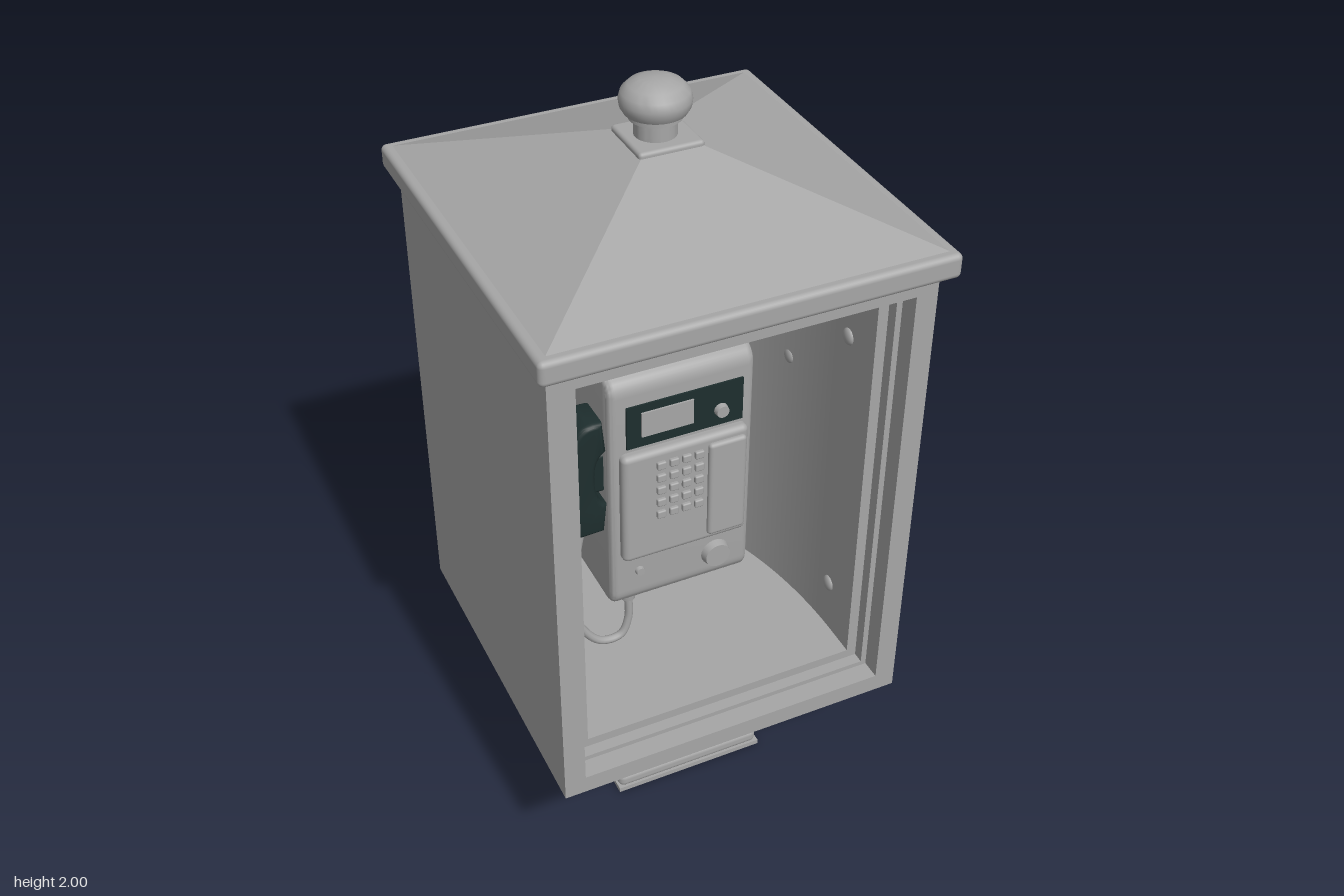
import * as THREE from 'three';
import { toCreasedNormals } from 'three/addons/utils/BufferGeometryUtils.js';
import { RoundedBoxGeometry } from 'three/addons/geometries/RoundedBoxGeometry.js';

const material = (name, color) => Object.assign(new THREE.MeshStandardMaterial({ color }), { name });

export function createModel() {
  const grey = material('grey metal', 0xa6a6a6);
  const dark = material('dark plastic', 0x1e2e2e);
  const group = new THREE.Group();

  const add = (name, geometry, mat = grey, x = 0, y = 0, z = 0, parent = group) => {
    const mesh = new THREE.Mesh(geometry, mat);
    mesh.name = name;
    mesh.position.set(x, y, z);
    parent.add(mesh);
    return mesh;
  };
  // Box given by its limits, with optional rounded edges
  const box = (name, x0, x1, y0, y1, z0, z1, mat = grey, r = 0, parent = group) => {
    const s = [x1 - x0, y1 - y0, z1 - z0];
    const g = r ? new RoundedBoxGeometry(...s, 3, r) : new THREE.BoxGeometry(...s);
    return add(name, g, mat, (x0 + x1) / 2, (y0 + y1) / 2, (z0 + z1) / 2, parent);
  };
  const rect = (P, x0, x1, y0, y1) => {
    const p = new P();
    p.moveTo(x0, y0);
    p.lineTo(x1, y0);
    p.lineTo(x1, y1);
    p.lineTo(x0, y1);
    p.closePath();
    return p;
  };

  // Pedestal
  box('baseFoot', -0.213, 0.213, 0, 0.014, -0.213, 0.213);
  box('basePlate', -0.21, 0.21, 0.008, 0.053, -0.21, 0.21, grey, 0.018);
  add('post', new THREE.CylinderGeometry(0.11, 0.11, 0.34, 40), grey, 0, 0.21, 0);

  // Cabinet: walls around a hollow with a rounded back
  const W = 0.467, lip = 0.385, inner = 0.37, mid = 0.3;
  const plan = new THREE.Shape();
  plan.moveTo(-W, -lip);
  plan.lineTo(-inner, -lip);
  plan.lineTo(-inner, -mid);
  plan.absellipse(0, -mid, inner, 0.72, Math.PI, 0, true);
  plan.lineTo(inner, -lip);
  plan.lineTo(W, -lip);
  plan.lineTo(W, W);
  plan.lineTo(-W, W);
  plan.closePath();
  const walls = new THREE.ExtrudeGeometry(plan, { depth: 1.095, bevelEnabled: false, curveSegments: 48 });
  walls.rotateX(-Math.PI / 2);
  add('cabinetWalls', toCreasedNormals(walls, 0.6), grey, 0, 0.455, 0);
  box('cabinetFloor', -W, W, 0.367, 0.455, -W, lip);
  box('cabinetCeiling', -W, W, 1.55, 1.65, -W, lip);

  // Stepped frame round the opening
  const frame = (name, hx, y0, y1, z0, z1) => {
    const s = rect(THREE.Shape, -W, W, 0.367, 1.65);
    s.holes.push(rect(THREE.Path, -hx, hx, y0, y1));
    add(name, new THREE.ExtrudeGeometry(s, { depth: z1 - z0, bevelEnabled: false }), grey, 0, 0, z0);
  };
  frame('innerFrame', 0.397, 0.43, 1.577, lip, 0.415);
  frame('outerFrame', 0.412, 0.417, 1.592, 0.415, W);

  // Bolts on the inner walls
  for (const side of [-1, 1]) {
    for (const [x, y, z] of [[0.37, 1.38, 0.27], [0.37, 0.6, 0.27], [0.35, 1.185, 0.035]]) {
      const bolt = add('wallBolt', new THREE.SphereGeometry(0.022, 16, 10), grey, side * x, y, z);
      bolt.scale.x = 0.5;
    }
  }

  // Roof
  box('roofEave', -0.496, 0.496, 1.643, 1.705, -0.51, 0.51, grey, 0.014);
  const slope = new THREE.CylinderGeometry(0.07 * Math.SQRT2, 0.49 * Math.SQRT2, 0.158, 4, 1).toNonIndexed();
  slope.rotateY(Math.PI / 4);
  slope.scale(1, 1, 1.03);
  slope.computeVertexNormals();
  add('roofSlope', slope, grey, 0, 1.777, 0);

  // Finial
  box('finialCollar', -0.08, 0.08, 1.845, 1.866, -0.08, 0.08, grey, 0.009);
  const knob = [[0.05, 1.85], [0.05, 1.905], [0.062, 1.907], [0.062, 1.918], [0.073, 1.922], [0.081, 1.936],
    [0.083, 1.952], [0.078, 1.97], [0.062, 1.986], [0.036, 1.997], [0, 2]];
  const lathe = new THREE.LatheGeometry(knob.map(p => new THREE.Vector2(...p)), 36);
  add('finialKnob', toCreasedNormals(lathe, 0.7), grey, -0.005, 0, 0);

  // Telephone body: side profile with a top that climbs to the back wall
  const phone = new THREE.Group();
  phone.name = 'telephone';
  group.add(phone);
  const b = 0.018;
  const profile = new THREE.Shape();
  profile.moveTo(-0.4, 0.645);
  profile.lineTo(0.11, 0.645);
  profile.quadraticCurveTo(0.132, 0.645, 0.132, 0.675);
  profile.lineTo(0.132, 1.28);
  profile.quadraticCurveTo(0.132, 1.305, 0.11, 1.312);
  profile.lineTo(-0.4, 1.435);
  profile.closePath();
  const body = new THREE.ExtrudeGeometry(profile, {
    depth: 0.35, bevelEnabled: true, bevelSize: b, bevelThickness: b, bevelSegments: 4, curveSegments: 8,
  });
  body.translate(0, 0, -0.175);
  body.rotateY(-Math.PI / 2);
  add('phoneBody', toCreasedNormals(body, 0.6), grey, -0.003, 0, 0, phone);

  // Display
  box('displayPanel', -0.153, 0.157, 1.13, 1.252, 0.148, 0.155, dark, 0, phone);
  box('displayScreen', -0.115, 0.022, 1.16, 1.23, 0.15, 0.16, grey, 0, phone);
  const disc = (name, r, h, x, y, z) => {
    const g = new THREE.CylinderGeometry(r * 0.85, r, h, 28);
    g.rotateX(Math.PI / 2);
    add(name, g, grey, x, y, z, phone);
  };
  disc('displayButton', 0.019, 0.018, 0.097, 1.175, 0.16);

  // Keypad panel, card strip and keys
  box('keypadPanel', -0.172, 0.168, 0.788, 1.118, 0.12, 0.175, grey, 0.016, phone);
  box('cardStrip', 0.055, 0.157, 0.81, 1.097, 0.16, 0.187, grey, 0.01, phone);
  for (let row = 0; row < 5; row++) {
    for (let col = 0; col < 4; col++) {
      const x = -0.072 + col * 0.034, y = 1.075 - row * 0.038;
      box('key', x - 0.012, x + 0.012, y - 0.011, y + 0.011, 0.17, 0.184, grey, 0.004, phone);
    }
  }

  // Coin return and lock
  disc('coinReturn', 0.04, 0.024, 0.093, 0.717, 0.158);
  disc('lock', 0.013, 0.012, -0.12, 0.733, 0.154);

  // Handset hanging on the side
  const arc = new THREE.Shape();
  arc.moveTo(-0.215, 1.2);
  arc.bezierCurveTo(-0.265, 1.205, -0.282, 1.17, -0.282, 1.05);
  arc.bezierCurveTo(-0.282, 0.93, -0.28, 0.89, -0.265, 0.888);
  arc.lineTo(-0.215, 0.89);
  arc.lineTo(-0.208, 0.955);
  arc.quadraticCurveTo(-0.238, 0.975, -0.238, 1.045);
  arc.quadraticCurveTo(-0.238, 1.11, -0.208, 1.13);
  arc.closePath();
  const handset = new THREE.ExtrudeGeometry(arc, {
    depth: 0.075, bevelEnabled: true, bevelSize: 0.012, bevelThickness: 0.015, bevelSegments: 4, curveSegments: 12,
  });
  add('handset', toCreasedNormals(handset, 0.7), dark, 0, 0, 0.045, phone);
  box('handsetCradle', -0.24, -0.18, 0.985, 1.1, 0.06, 0.11, dark, 0.01, phone);

  // Cord
  const cord = new THREE.CatmullRomCurve3([
    [-0.248, 0.89, 0.09], [-0.268, 0.78, 0.09], [-0.282, 0.66, 0.09], [-0.262, 0.54, 0.09],
    [-0.205, 0.468, 0.09], [-0.15, 0.468, 0.09], [-0.127, 0.52, 0.09], [-0.128, 0.62, 0.09],
  ].map(p => new THREE.Vector3(...p)));
  add('cord', new THREE.TubeGeometry(cord, 60, 0.011, 10), grey, 0, 0, 0, phone);
  add('cordSocket', new THREE.CylinderGeometry(0.024, 0.02, 0.04, 20), grey, -0.128, 0.615, 0.09, phone);

  return group;
}
